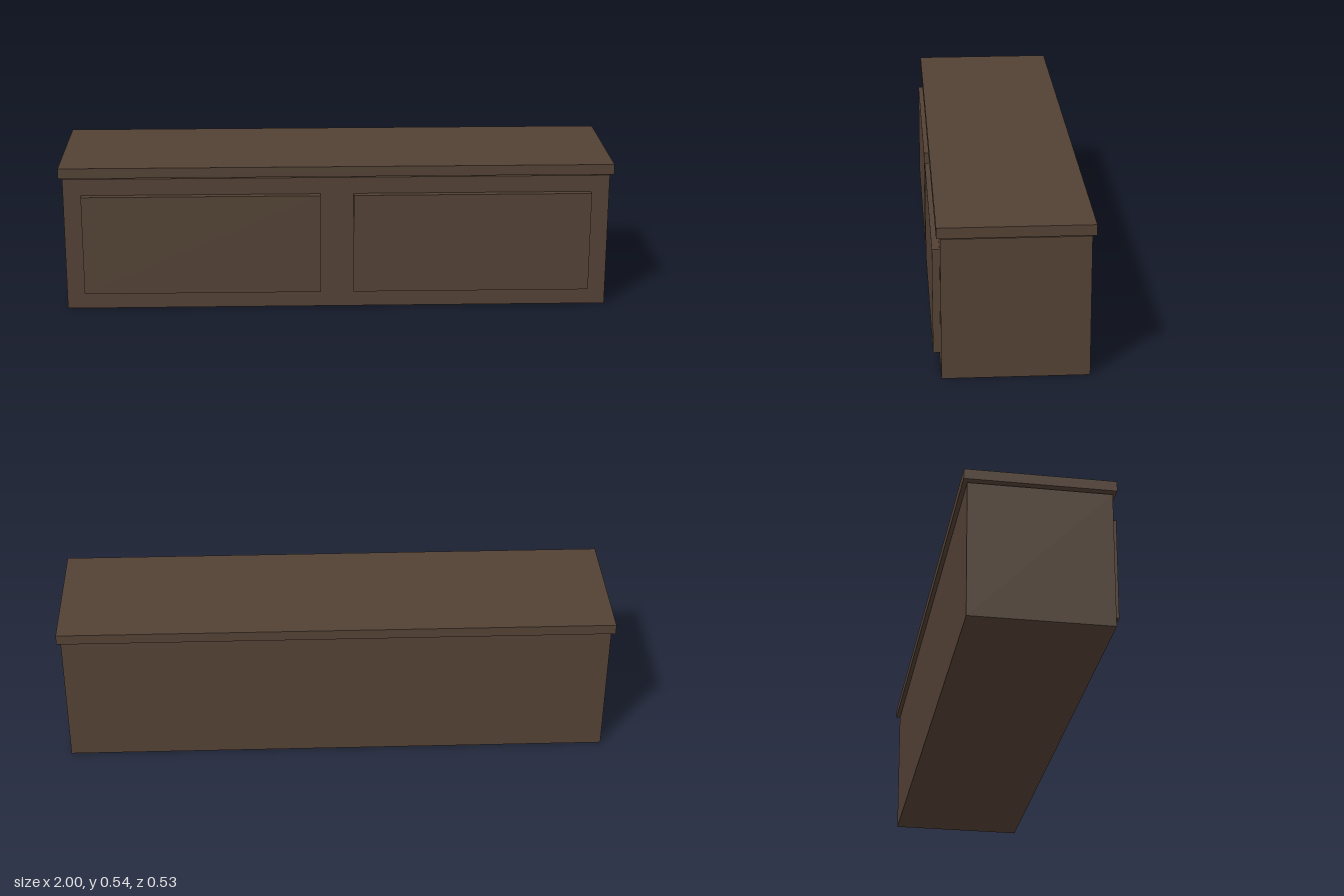
import * as THREE from 'three';

export function createModel() {
  const group = new THREE.Group();
  const darkWood = new THREE.MeshStandardMaterial({ color: 0x524134 });
  darkWood.name = 'darkWood';

  // Adds a box spanning the given ranges on each axis
  function addBox(name, [x0, x1], [y0, y1], [z0, z1]) {
    const mesh = new THREE.Mesh(new THREE.BoxGeometry(x1 - x0, y1 - y0, z1 - z0), darkWood);
    mesh.position.set((x0 + x1) / 2, (y0 + y1) / 2, (z0 + z1) / 2);
    mesh.name = name;
    group.add(mesh);
  }

  // Cabinet body, and the overhanging top floating just above it
  addBox('cabinetBody', [-0.987, 0.987], [0, 0.494], [-0.253, 0.241]);
  addBox('topBoard', [-1, 1], [0.501, 0.538], [-0.266, 0.254]);

  // Pair of raised door panels on the front
  addBox('leftDoor', [0.06, 0.921], [0.064, 0.433], [0.241, 0.266]);
  addBox('rightDoor', [-0.921, -0.06], [0.064, 0.433], [0.241, 0.266]);

  return group;
}
